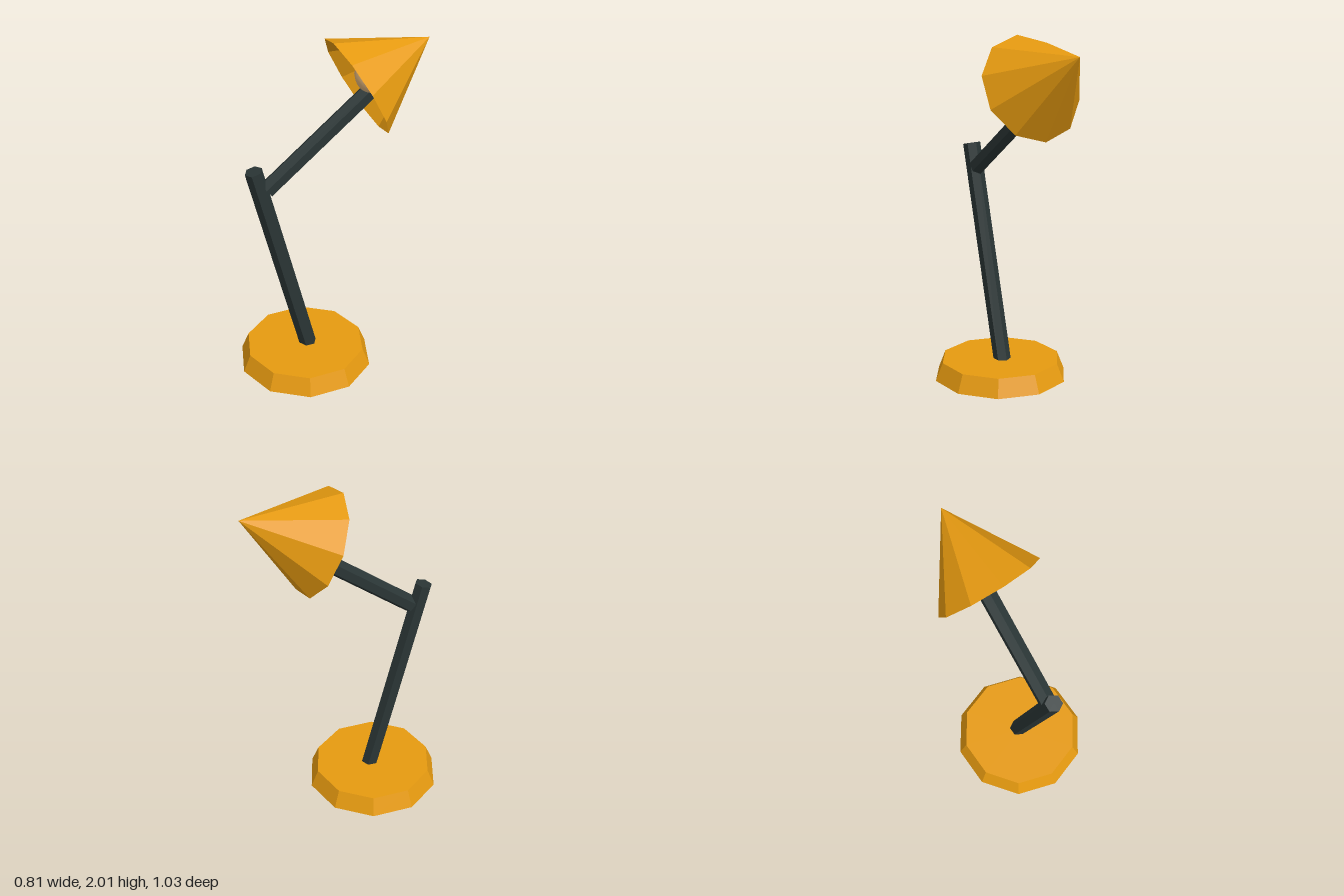
import * as THREE from 'three';

const flat = (g) => {
  const f = g.toNonIndexed();
  f.computeVertexNormals();
  return f;
};

const material = (name, color, extra = {}) => {
  const m = new THREE.MeshStandardMaterial({ color, ...extra });
  m.name = name;
  return m;
};

export function createModel() {
  const lamp = new THREE.Group();
  lamp.name = 'deskLamp';
  const orange = material('orange', 0xe69a10);
  orange.side = THREE.DoubleSide;
  const charcoal = material('charcoal', 0x2a3535);
  const cream = material('warmBulb', 0xe0b47c);

  const add = (name, geometry, mat) => {
    const mesh = new THREE.Mesh(geometry, mat);
    mesh.name = name;
    lamp.add(mesh);
    return mesh;
  };

  // Tapered prism from point a to point b, with one corner turned toward 'corner'
  const span = (name, a, b, rBottom, rTop, sides, open, corner, mat) => {
    const from = new THREE.Vector3(...a), to = new THREE.Vector3(...b);
    const y = to.clone().sub(from);
    const length = y.length();
    y.normalize();
    const x = y.clone().cross(new THREE.Vector3(...corner)).normalize();
    const z = x.clone().cross(y);
    const mesh = add(name, flat(new THREE.CylinderGeometry(rTop, rBottom, length, sides, 1, open)), mat);
    mesh.quaternion.setFromRotationMatrix(new THREE.Matrix4().makeBasis(x, y, z));
    mesh.position.copy(from).add(to).multiplyScalar(0.5);
  };

  // Ten-sided foot
  span('base', [-0.023, 0, 0.125], [-0.023, 0.105, 0.125], 0.39, 0.348, 10, false, [0.113, 0, 0.994], orange);

  // Hexagonal arms
  span('lowerArm', [-0.009, 0.05, 0.099], [-0.168, 1.337, 0.379], 0.05, 0.05, 6, false, [1, 0, 0], charcoal);
  span('upperArm', [-0.127, 1.21, 0.322], [0.18, 1.705, -0.235], 0.05, 0.05, 6, false, [0, 1, 0], charcoal);

  // Open cone shade
  span('shade', [0.132, 1.732, -0.144], [0.345, 1.945, -0.515], 0.306, 0, 10, true, [0.273, -0.085, 0.11], orange);

  // Bulb
  const bulb = add('bulb', new THREE.SphereGeometry(0.104, 12, 8), cream);
  bulb.position.set(0.18, 1.782, -0.23);

  return lamp;
}
